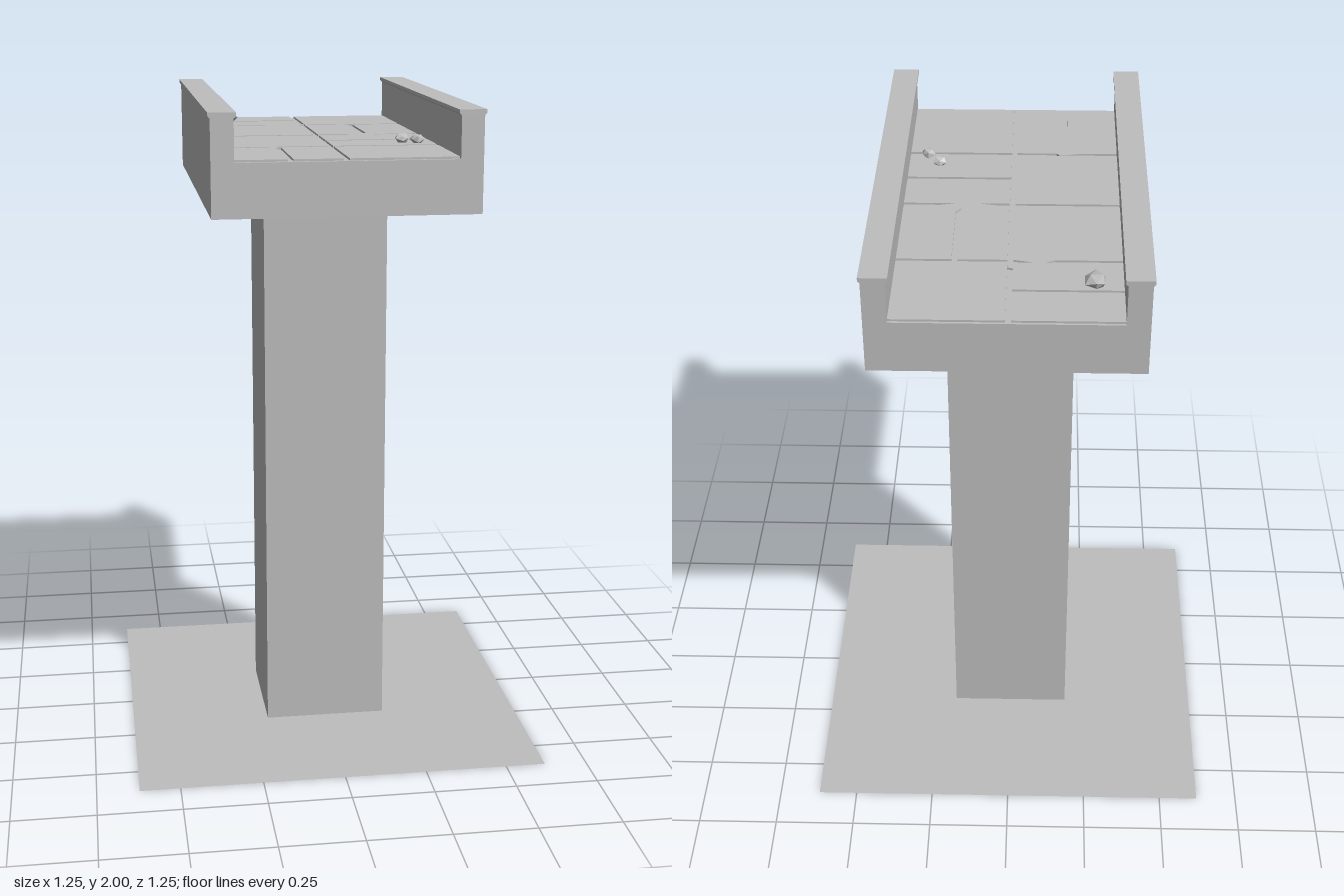
import * as THREE from 'three';

const stone = new THREE.MeshStandardMaterial({ color: 0xbebebe, flatShading: true });
stone.name = 'grey stone';
const groundStone = new THREE.MeshStandardMaterial({ color: 0xbebebe, side: THREE.DoubleSide });
groundStone.name = 'grey ground';

const FLOOR = 1.864, PAVING = 1.87;

function add(parent, name, geometry, material = stone) {
  const mesh = new THREE.Mesh(geometry, material);
  mesh.name = name;
  parent.add(mesh);
  return mesh;
}

// Flat slab from [x, z] outline points, lying on the deck floor
function slab(points) {
  const shape = new THREE.Shape(points.map(([x, z]) => new THREE.Vector2(x, -z)));
  return new THREE.ExtrudeGeometry(shape, { depth: PAVING - FLOOR, bevelEnabled: false })
    .rotateX(-Math.PI / 2).translate(0, FLOOR, 0);
}

// Angular pebble: icosahedron whose corners move by a rule of their position
function rock(sx, sy, sz, seed) {
  const geo = new THREE.IcosahedronGeometry(1, 0);
  const p = geo.attributes.position, v = new THREE.Vector3();
  for (let i = 0; i < p.count; i++) {
    v.fromBufferAttribute(p, i);
    const k = 0.94 + 0.16 * Math.sin(v.x * 5.1 + v.y * 3.7 + v.z * 7.3 + seed);
    p.setXYZ(i, v.x * k * sx, v.y * k * sy, v.z * k * sz);
  }
  geo.computeVertexNormals();
  return geo;
}

export function createModel() {
  const model = new THREE.Group();
  model.name = 'bridgePillar';

  // Ground sheet and square pillar
  add(model, 'ground', new THREE.PlaneGeometry(1.245, 1.245).rotateX(-Math.PI / 2), groundStone);
  add(model, 'pillar', new THREE.BoxGeometry(0.378, 1.709, 0.378).translate(0, 0.8565, 0));

  // Trough-shaped deck with parapets and small coping lips
  const half = [[0.38, 1.71], [0.38, 1.984], [0.386, 1.99], [0.386, 2],
    [0.308, 2], [0.308, 1.99], [0.315, 1.984], [0.315, FLOOR]];
  const outline = [...half, ...half.map(([x, y]) => [-x, y]).reverse()];
  const profile = new THREE.Shape(outline.map(([x, y]) => new THREE.Vector2(x, y)));
  add(model, 'deck', new THREE.ExtrudeGeometry(profile, { depth: 1.245, bevelEnabled: false })
    .translate(0, 0, -0.6225));

  // Paving stones as [x0, x1, z0, z1], with narrow joints between
  const paving = new THREE.Group();
  paving.name = 'paving';
  model.add(paving);
  const L = -0.315, LC = -0.011, RC = 0.005, R = 0.315;
  const tiles = [
    [L, LC, -0.615, -0.479], [L, LC, -0.463, -0.323], [L, LC, -0.31, -0.013],
    [L, LC, 0.003, 0.302], [L, -0.166, 0.316, 0.61], [-0.151, LC, 0.316, 0.61],
    [RC, R, -0.615, -0.323], [RC, 0.145, -0.31, -0.013], [0.161, R, -0.31, -0.013],
    [RC, R, 0.003, 0.145], [RC, R, 0.16, 0.302], [RC, R, 0.316, 0.61],
  ];
  for (const [x0, x1, z0, z1] of tiles)
    add(paving, 'pavingStone', slab([[x0, z0], [x1, z0], [x1, z1], [x0, z1]]));

  // Worn spots where the joints are closed up
  const worn = [
    [[-0.125, -0.31], [-0.1, -0.323], [-0.07, -0.323], [-0.012, -0.31]],
    [[0.01, -0.013], [0.1, 0.003], [0.165, 0.003], [0.23, -0.013]],
    [[-0.2, 0.316], [-0.155, 0.304], [-0.14, 0.304], [-0.13, 0.316]],
    [[0.145, -0.025], [0.161, -0.045], [0.161, -0.013], [0.145, -0.013]],
    [[-0.011, -0.355], [0.005, -0.35], [0.005, -0.346], [-0.011, -0.34]],
  ];
  for (const points of worn) add(paving, 'wornJoint', slab(points));

  // Loose rubble on the paving
  const rocks = [
    [-0.238, 1.889, -0.443, 0.034, 0.022, 0.042, 0.4],
    [0.222, 1.883, 0.238, 0.023, 0.015, 0.023, 2.1],
    [0.259, 1.885, 0.284, 0.025, 0.018, 0.022, 4.3],
  ];
  for (const [x, y, z, sx, sy, sz, seed] of rocks)
    add(model, 'looseRock', rock(sx, sy, sz, seed)).position.set(x, y, z);

  return model;
}
